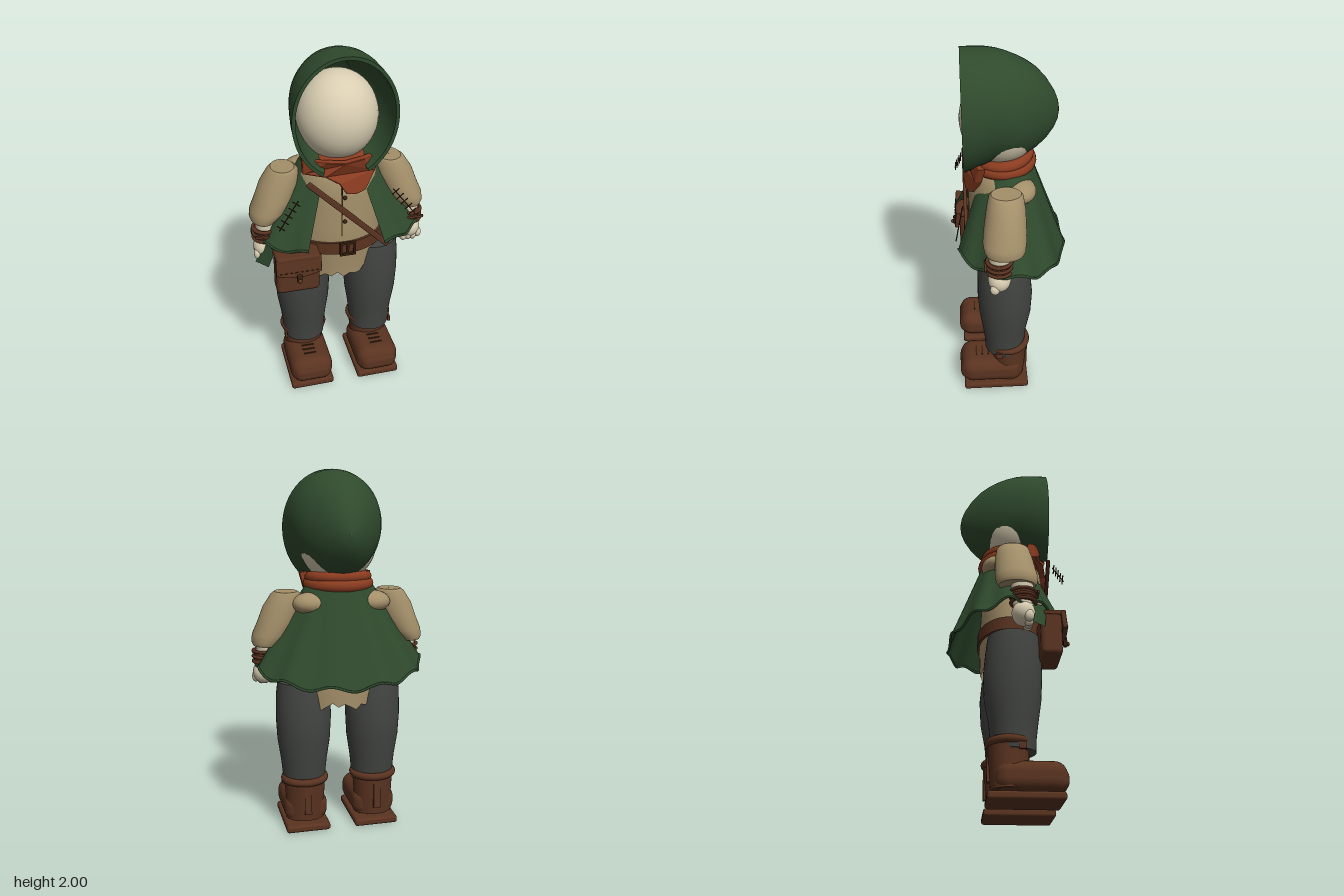
import * as THREE from 'three';
import { RoundedBoxGeometry } from 'three/addons/geometries/RoundedBoxGeometry.js';

const mat = (name, color) => {
  const m = new THREE.MeshStandardMaterial({ color, side: THREE.DoubleSide });
  m.name = name;
  return m;
};

export function createModel() {
  const cream = mat('cream skin', 0xd9ceb2), tan = mat('tan linen', 0xa4906a);
  const green = mat('forest green', 0x2f4a2d), rust = mat('rust scarf', 0x8a3c20);
  const brown = mat('brown leather', 0x5a3320), grey = mat('charcoal wool', 0x434542);
  const dark = mat('dark leather', 0x38200f);
  const model = new THREE.Group();
  const V = (x, y, z) => new THREE.Vector3(x, y, z);

  const add = (name, geo, material, pos = [0, 0, 0], scale = [1, 1, 1], parent = model) => {
    const m = new THREE.Mesh(geo, material);
    m.name = name;
    m.position.set(...pos);
    m.scale.set(...scale);
    parent.add(m);
    return m;
  };

  // Skin a list of rings that all have the same number of points
  const loft = (rings, closed = true) => {
    const n = rings[0].length, pos = [], idx = [];
    rings.forEach(r => r.forEach(p => pos.push(p.x, p.y, p.z)));
    for (let i = 0; i < rings.length - 1; i++)
      for (let j = 0; j < (closed ? n : n - 1); j++) {
        const k = (j + 1) % n, a = i * n + j, b = a + n, c = i * n + k, d = c + n;
        idx.push(a, b, c, c, b, d);
      }
    const g = new THREE.BufferGeometry();
    g.setAttribute('position', new THREE.Float32BufferAttribute(pos, 3));
    g.setIndex(idx);
    g.computeVertexNormals();
    return g;
  };

  // Horizontal ring with separate front and back depths, starting at the front
  const ring = (y, cx, cz, rx, front, back, n = 40) => Array.from({ length: n }, (_, j) => {
    const a = j / n * Math.PI * 2, c = Math.cos(a);
    return V(cx + rx * Math.sin(a), y, cz + c * (c > 0 ? front : back));
  });
  // Stack of rings from top to bottom, with flat ends
  const stack = (rows, capTop = true, capBottom = true) => {
    const rings = rows.map(r => ring(...r));
    const first = rows[0], last = rows[rows.length - 1];
    const dot = r => ring(r[0], r[1], r[2], 0.001, 0.001, 0.001);
    if (capTop) rings.unshift(dot(first), ring(...first));
    if (capBottom) rings.push(ring(...last), dot(last));
    return loft(rings);
  };
  const rod = (name, a, b, r, material, parent = model) =>
    add(name, new THREE.TubeGeometry(new THREE.LineCurve3(V(...a), V(...b)), 1, r, 6), material, [0, 0, 0], [1, 1, 1], parent);

  // Head and neck
  add('head', new THREE.SphereGeometry(1, 40, 28), cream, [0, 1.63, 0.03], [0.213, 0.235, 0.21]);
  add('neck', new THREE.CylinderGeometry(0.1, 0.12, 0.16, 24), cream, [0, 1.4, 0.01]);

  // Hood: rows of z, half width, top, bottom, half gap under the chin
  const hoodRows = [
    [0.225, 0.27, 2.0, 1.35, 0.46], [0.16, 0.266, 2.0, 1.375, 0.4], [0.1, 0.258, 1.998, 1.405, 0.3],
    [0.05, 0.25, 1.99, 1.425, 0.15], [0, 0.238, 1.975, 1.43, 0], [-0.05, 0.22, 1.955, 1.435, 0],
    [-0.1, 0.193, 1.93, 1.445, 0], [-0.15, 0.158, 1.895, 1.475, 0], [-0.2, 0.115, 1.84, 1.52, 0],
    [-0.24, 0.07, 1.775, 1.575, 0], [-0.26, 0.037, 1.725, 1.62, 0], [-0.268, 0.002, 1.675, 1.67, 0]];
  const hoodRing = ([z, w, top, bottom, gap], inset = 0) => Array.from({ length: 49 }, (_, j) => {
    const t = -Math.PI / 2 + gap + j / 48 * (Math.PI * 2 - 2 * gap), s = Math.sin(t);
    const cy = bottom + (top - bottom) * 0.51;
    return V((w - inset) * Math.cos(t), cy + s * ((s > 0 ? top - cy : cy - bottom) - inset), z);
  });
  const inner = hoodRows.slice(0, 8).reverse().map(r => hoodRing(r, 0.018));
  const rim = [hoodRing(hoodRows[0], 0.018), hoodRing(hoodRows[0])];
  add('hood', loft([...inner, ...rim, ...hoodRows.map(r => hoodRing(r))], false), green);

  // Scarf: two wraps and a hanging kerchief
  const wrap = new THREE.TorusGeometry(0.16, 0.034, 12, 40).rotateX(Math.PI / 2);
  add('scarfLower', wrap, rust, [0, 1.395, 0.02], [1, 1, 0.92]);
  add('scarfUpper', wrap, rust, [0, 1.43, 0.02], [0.95, 0.9, 0.85]).rotation.x = 0.08;
  const bib = new THREE.Shape([[-0.2, 1.37], [-0.1, 1.37], [-0.03, 1.33], [0.01, 1.27], [0.06, 1.26], [0.11, 1.27],
    [0.165, 1.36], [0.19, 1.44], [0.1, 1.445], [0, 1.44], [-0.1, 1.445], [-0.2, 1.44]].map(p => new THREE.Vector2(...p)));
  const bibGeo = new THREE.ExtrudeGeometry(bib, { depth: 0.025, bevelSize: 0.006, bevelThickness: 0.006, bevelSegments: 2 });
  const bp = bibGeo.attributes.position;
  for (let i = 0; i < bp.count; i++) bp.setZ(i, bp.getZ(i) - 2 * bp.getX(i) ** 2);
  bibGeo.computeVertexNormals();
  add('kerchief', bibGeo, rust, [0, 0, 0.195]);

  // Shirt with a ragged hem
  const shirtGeo = stack([
    [1.41, 0, 0.01, 0.1, 0.1, 0.08], [1.38, 0, 0.01, 0.18, 0.15, 0.11], [1.33, 0, 0.01, 0.215, 0.185, 0.13],
    [1.22, 0, 0.01, 0.235, 0.195, 0.14], [1.05, 0, 0.01, 0.235, 0.195, 0.15], [0.95, 0, 0.01, 0.25, 0.2, 0.155],
    [0.85, 0, 0.01, 0.235, 0.185, 0.155], [0.735, 0, 0.01, 0.215, 0.178, 0.15]], true, false);
  const sp = shirtGeo.attributes.position;
  for (let i = 0; i < sp.count; i++) if (sp.getY(i) < 0.74)
    sp.setY(i, 0.735 + 0.014 * Math.sin(i * 2.3) + 0.012 * Math.sin(i * 0.9));
  add('shirt', shirtGeo, tan);
  add('placket', new THREE.BoxGeometry(0.006, 0.3, 0.008), dark, [-0.015, 1.15, 0.204]);
  for (const y of [1.235, 1.09])
    add('shirtButton', new THREE.SphereGeometry(0.011, 10, 8), dark, [0, y, 0.207]);

  // Belt and buckle
  add('belt', stack([[0.965, 0, 0.01, 0.262, 0.212, 0.165], [0.895, 0, 0.01, 0.264, 0.212, 0.167]]), brown);
  for (const [x, y, w, h] of [[-0.025, 0.93, 0.012, 0.08], [0.05, 0.93, 0.012, 0.08],
    [0.012, 0.965, 0.08, 0.012], [0.012, 0.895, 0.08, 0.012], [0.012, 0.93, 0.012, 0.07]])
    add('buckle', new THREE.BoxGeometry(w, h, 0.014), dark, [x, y, 0.228]);

  // Shoulder strap
  const strap = add('shoulderStrap', new RoundedBoxGeometry(0.03, 0.61, 0.02, 2, 0.006), brown, [0.02, 1.135, 0.222]);
  strap.rotation.z = Math.PI / 4;

  // Cape: an open cone with a wavy hem
  const cape = [];
  for (let i = 0; i <= 14; i++) {
    const t = i / 14;
    cape.push(Array.from({ length: 81 }, (_, j) => {
      const u = j / 80, a = 0.47 + u * (Math.PI * 2 - 0.94), c = Math.cos(a);
      const fold = 1 + 0.018 * t * t * Math.sin(a * 11);
      const hem = 0.965 - 0.085 * Math.max(0, -c) + 0.015 * Math.sin(a * 11 + 1);
      const depth = c > 0 ? 0.125 + 0.18 * t : 0.125 + 0.19 * t;
      return V((0.165 + 0.295 * t) * Math.sin(a) * fold, 1.42 + (hem - 1.42) * t, c * depth * fold);
    }));
  }
  add('cape', loft(cape, false), green);
  add('capeHem', new THREE.TubeGeometry(new THREE.CatmullRomCurve3(cape[14]), 160, 0.007, 6), green);
  // Hanging cape corner on the right side
  add('capeCorner', loft([[V(-0.4, 0.98, 0.1), V(-0.36, 0.98, 0.18)], [V(-0.47, 0.84, 0.1), V(-0.41, 0.84, 0.17)]], false), green);

  for (const s of [1, -1]) {
    const side = s > 0 ? 'left' : 'right';

    // Arm: yoke, puffed sleeve, forearm, bracer and hand
    const arm = new THREE.Group();
    arm.name = side + 'Arm';
    arm.scale.x = s;
    model.add(arm);
    const part = (name, geo, m, pos, scale) => add(name, geo, m, pos, scale, arm);
    part('shoulderYoke', new THREE.SphereGeometry(1, 20, 14), tan, [0.17, 1.3, -0.06], [0.1, 0.06, 0.085]);
    part('sleeve', stack([
      [1.36, 0.29, 0.018, 0.062, 0.075, 0.078], [1.345, 0.29, 0.018, 0.082, 0.088, 0.088],
      [1.28, 0.31, 0.02, 0.105, 0.1, 0.1], [1.2, 0.34, 0.025, 0.105, 0.108, 0.108],
      [1.13, 0.375, 0.03, 0.1, 0.112, 0.112], [1.09, 0.4, 0.03, 0.08, 0.105, 0.105],
      [1.07, 0.405, 0.03, 0.067, 0.095, 0.095]]), tan);
    part('forearm', stack([[1.09, 0.4, 0.055, 0.055, 0.06, 0.06], [0.93, 0.405, 0.06, 0.045, 0.05, 0.05]]), cream);
    part('bracer', stack([[1.035, 0.405, 0.06, 0.06, 0.064, 0.064], [0.97, 0.408, 0.06, 0.058, 0.062, 0.062]]), brown);
    for (const y of [1.03, 1.0, 0.972])
      part('bracerCord', new THREE.TorusGeometry(0.06, 0.009, 8, 28).rotateX(Math.PI / 2), brown, [0.407, y, 0.06], [1.02, 1, 1.05]);
    part('bracerTie', new THREE.BoxGeometry(0.13, 0.014, 0.012), brown, [0.4, 1.01, 0.131]);
    part('hand', new THREE.SphereGeometry(1, 24, 18), cream, [0.41, 0.91, 0.06], [0.062, 0.065, 0.06]);
    part('thumb', new THREE.SphereGeometry(1, 14, 10), cream, [0.35, 0.92, 0.085], [0.024, 0.04, 0.026]);
    for (let i = 0; i < 4; i++)
      part('finger', new THREE.SphereGeometry(1, 14, 10), cream, [0.37 + i * 0.028, 0.868 + (i === 3 ? 0.012 : 0), 0.085], [0.021, 0.032, 0.026]);

    // Mending stitches standing off the sleeve
    rod('seamThread', [0.25, 1.27, 0.235], [0.36, 1.13, 0.275], 0.003, dark, arm);
    for (let i = 0; i < 5; i++) {
      const x = 0.262 + i * 0.022, y = 1.255 - i * 0.028, z = 0.24 + i * 0.008;
      rod('stitch', [x - 0.019, y - 0.016, z], [x + 0.019, y + 0.016, z], 0.003, dark, arm);
    }

    // Trouser leg
    const leg = new THREE.Group();
    leg.name = side + 'Leg';
    leg.scale.x = s;
    model.add(leg);
    const piece = (name, geo, m, pos, scale) => add(name, geo, m, pos, scale, leg);
    piece('trouserLeg', stack([
      [0.86, 0.2, 0.02, 0.142, 0.14, 0.13], [0.78, 0.2, 0.02, 0.152, 0.15, 0.14], [0.65, 0.2, 0.02, 0.155, 0.152, 0.152],
      [0.52, 0.2, 0.02, 0.148, 0.145, 0.145], [0.4, 0.2, 0.02, 0.13, 0.128, 0.122], [0.32, 0.2, 0.02, 0.122, 0.118, 0.115],
      [0.25, 0.2, 0.02, 0.117, 0.115, 0.1]]), grey);

    // Boot: shaft, cuff, rounded foot, heel strip, laces and sole
    piece('bootShaft', stack([[0.3, 0.2, 0, 0.116, 0.1, 0.108], [0.18, 0.2, 0, 0.11, 0.1, 0.1], [0.06, 0.2, 0, 0.112, 0.1, 0.09]]), brown);
    piece('bootCuff', new THREE.TorusGeometry(0.115, 0.02, 10, 36).rotateX(Math.PI / 2), brown, [0.2, 0.293, 0.003], [1, 1.05, 0.92]);
    piece('bootFoot', new RoundedBoxGeometry(0.245, 0.16, 0.35, 5, 0.065), brown, [0.198, 0.118, 0.103]);
    piece('toeCap', new RoundedBoxGeometry(0.22, 0.12, 0.12, 4, 0.05), brown, [0.198, 0.11, 0.225]);
    piece('heelStrip', new THREE.BoxGeometry(0.04, 0.17, 0.02), brown, [0.2, 0.19, -0.098]);
    piece('bootStrapTab', new THREE.BoxGeometry(0.014, 0.035, 0.035), brown, [0.315, 0.26, 0.06]);
    for (let i = 0; i < 3; i++)
      piece('lace', new THREE.BoxGeometry(0.07, 0.008, 0.008), dark, [0.2, 0.2, 0.12 + i * 0.035]);
    piece('sole', new RoundedBoxGeometry(0.25, 0.042, 0.375, 3, 0.015), brown, [0.198, 0.021, 0.077]);
  }

  // Belt pouch with flap and clasp
  const pouch = new THREE.Group();
  pouch.name = 'pouch';
  model.add(pouch);
  add('pouchBody', new RoundedBoxGeometry(0.235, 0.235, 0.11, 4, 0.025), brown, [-0.265, 0.828, 0.205], [1, 1, 1], pouch);
  const flap = new THREE.Shape();
  flap.moveTo(-0.118, 0.06);
  flap.lineTo(-0.118, -0.03);
  flap.quadraticCurveTo(0, -0.075, 0.118, -0.03);
  flap.lineTo(0.118, 0.06);
  add('pouchFlap', new THREE.ExtrudeGeometry(flap, { depth: 0.018, bevelSize: 0.004, bevelThickness: 0.004, curveSegments: 16 }),
    brown, [-0.265, 0.885, 0.262], [1, 1, 1], pouch).rotation.x = -0.1;
  add('pouchTop', new RoundedBoxGeometry(0.24, 0.03, 0.12, 3, 0.012), brown, [-0.265, 0.938, 0.22], [1, 1, 1], pouch);
  add('clasp', new RoundedBoxGeometry(0.028, 0.05, 0.02, 2, 0.006), dark, [-0.265, 0.825, 0.288], [1, 1, 1], pouch);
  add('claspStud', new THREE.SphereGeometry(0.012, 12, 8), brown, [-0.265, 0.815, 0.3], [1, 1, 1], pouch);
  for (let i = 0; i < 8; i++)
    add('pouchStitch', new THREE.BoxGeometry(0.014, 0.004, 0.006), dark, [-0.363 + i * 0.028, 0.865, 0.287], [1, 1, 1], pouch);

  return model;
}
